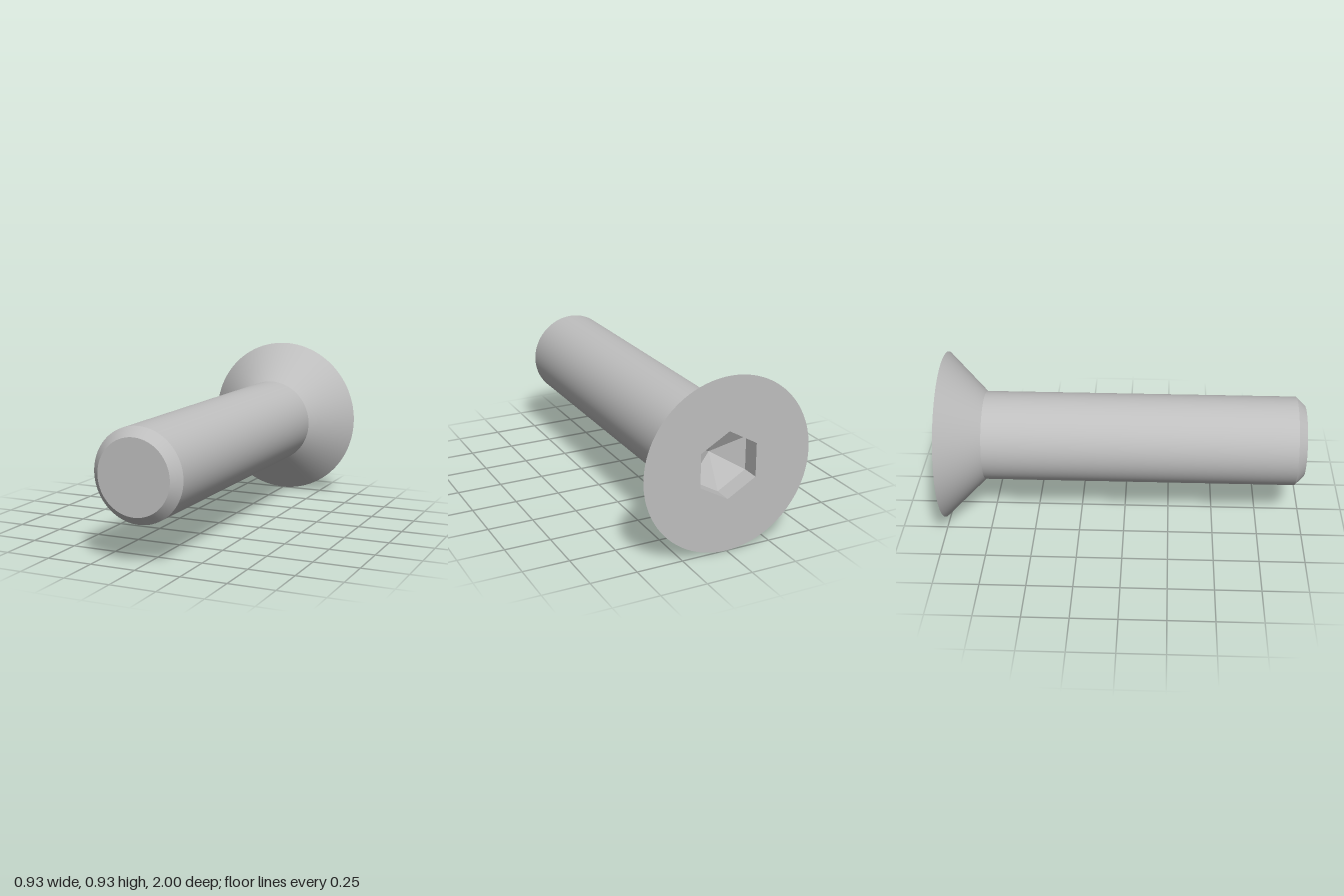
import * as THREE from 'three';

const HEAD_R = 0.467, SHANK_R = 0.248, TIP_R = 0.2, HEX_R = 0.181;
const SEGMENTS = 96;

export function createModel() {
  const group = new THREE.Group();
  group.name = 'countersunkScrew';
  const steel = new THREE.MeshStandardMaterial({ color: 0xbfbfbf });
  steel.name = 'steel grey';

  const add = (name, geometry) => {
    const mesh = new THREE.Mesh(geometry, steel);
    mesh.name = name;
    mesh.position.y = HEAD_R;
    group.add(mesh);
  };

  // Surface turned around the z axis from [radius, z] points
  const turned = (profile, segments = SEGMENTS) =>
    new THREE.LatheGeometry(profile.map(([r, z]) => new THREE.Vector2(r, z)), segments)
      .rotateX(Math.PI / 2);

  // Separate surfaces keep the edges between them sharp
  add('headCone', turned([[HEAD_R, -1], [SHANK_R, -0.78]]));
  add('shank', turned([[SHANK_R, -0.78], [SHANK_R, 0.95]]));
  add('tipChamfer', turned([[SHANK_R, 0.95], [TIP_R, 1]]));
  add('tipFace', turned([[TIP_R, 1], [0, 1]]));

  // Flat head face with a hexagonal opening, corners up and down
  const face = new THREE.Shape().absarc(0, 0, HEAD_R, 0, Math.PI * 2);
  const corners = Array.from({ length: 6 }, (_, i) => {
    const a = i * Math.PI / 3;
    return new THREE.Vector2(HEX_R * Math.sin(a), HEX_R * Math.cos(a));
  });
  face.holes.push(new THREE.Path(corners));
  add('headFace', new THREE.ShapeGeometry(face, SEGMENTS).rotateY(Math.PI).translate(0, 0, -1));

  // Hexagonal socket: straight walls and a pointed floor, facing inwards
  const socket = turned([[0, -0.8], [HEX_R, -0.9], [HEX_R, -1]], 6).toNonIndexed();
  socket.computeVertexNormals();
  add('hexSocket', socket);

  return group;
}
